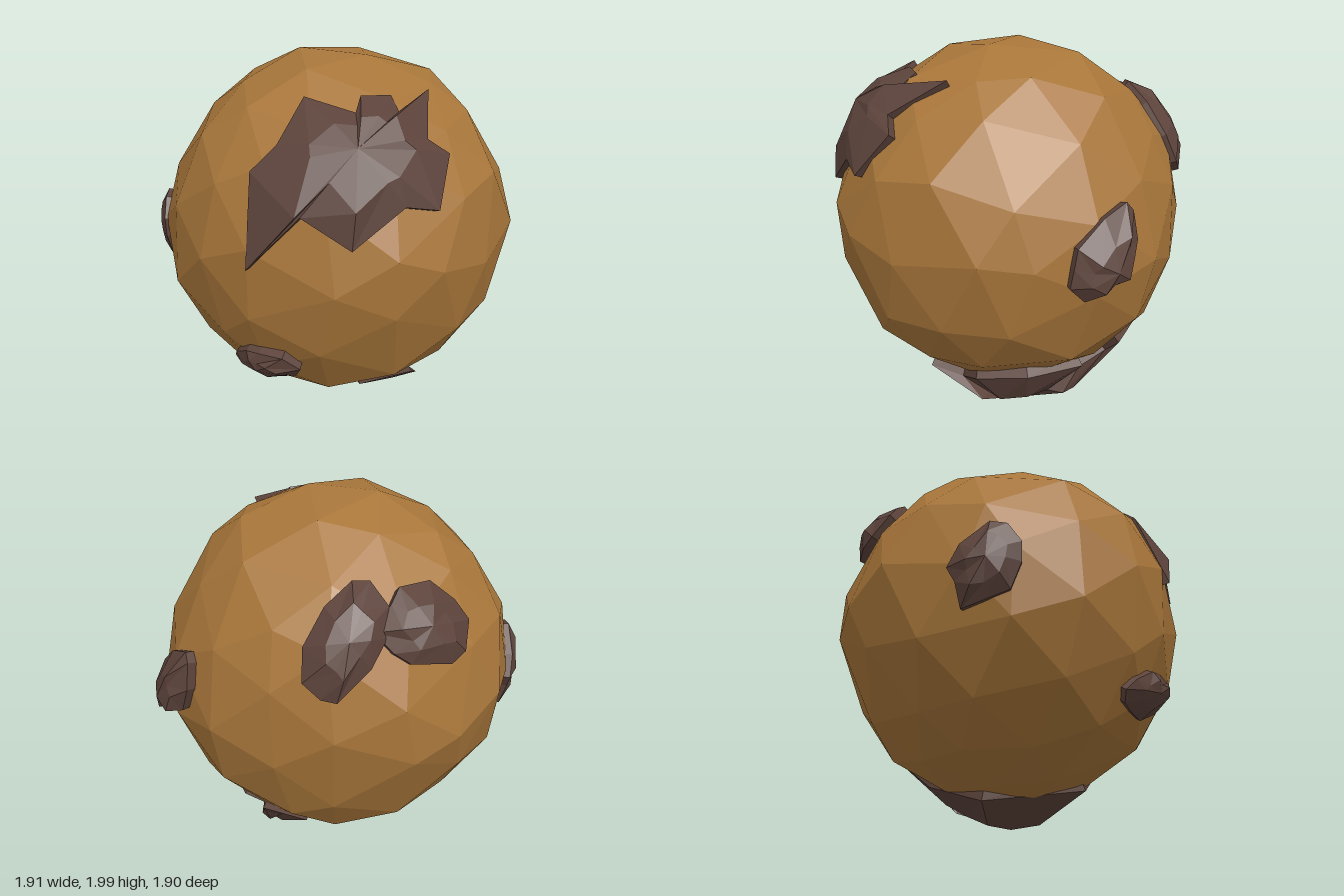
import * as THREE from 'three';
import { mergeVertices } from 'three/addons/utils/BufferGeometryUtils.js';

const R = 0.97; // body radius
const rad = THREE.MathUtils.degToRad;
const bodyMat = new THREE.MeshStandardMaterial({ color: 0xa8763a, flatShading: true });
const patchMat = new THREE.MeshStandardMaterial({ color: 0x5c433b, flatShading: true });

// Small seeded random, -1..1
function seeded(seed) {
  let s = seed * 7919;
  return () => {
    s = (s * 16807) % 2147483647;
    return (s / 2147483647) * 2 - 1;
  };
}

// Uneven faceted ball
function makeBody() {
  const ico = new THREE.IcosahedronGeometry(R, 2);
  ico.deleteAttribute('normal');
  ico.deleteAttribute('uv');
  const geo = mergeVertices(ico, 1e-4);
  const rand = seeded(41);
  const pos = geo.attributes.position;
  const p = new THREE.Vector3();
  for (let i = 0; i < pos.count; i++) {
    p.fromBufferAttribute(pos, i);
    p.x += rand() * 0.06;
    p.y += rand() * 0.06;
    p.z += rand() * 0.06;
    p.setLength(R - 0.012 + rand() * 0.016);
    pos.setXYZ(i, p.x, p.y, p.z);
  }
  geo.computeVertexNormals();
  const mesh = new THREE.Mesh(geo, bodyMat);
  mesh.name = 'body';
  return mesh;
}

// Rough oval outline, clockwise: centre, half length, half width, tilt in degrees
function oval([cu, cv], a, b, tilt, seed) {
  const rand = seeded(seed), n = 10, t = rad(tilt);
  return Array.from({ length: n }, (_, i) => {
    const w = -(i + rand() * 0.25) / n * Math.PI * 2;
    const k = 1 + rand() * 0.14;
    const x = a * k * Math.cos(w), y = b * k * Math.sin(w);
    return [cu + x * Math.cos(t) - y * Math.sin(t), cv + x * Math.sin(t) + y * Math.cos(t)];
  });
}

// Crusty lump: a clockwise outline laid on the ball as seen from an azimuth and
// elevation (degrees), rising through a ridge ring to a peak
function makePatch(name, az, el, outline, peak, bump, seed) {
  const a = rad(az), e = rad(el);
  const right = new THREE.Vector3(Math.cos(a), 0, -Math.sin(a));
  const toward = new THREE.Vector3(Math.sin(a) * Math.cos(e), Math.sin(e), Math.cos(a) * Math.cos(e));
  const up = new THREE.Vector3().crossVectors(toward, right);
  const onBall = (u, v, r) => new THREE.Vector3()
    .addScaledVector(right, u)
    .addScaledVector(up, v)
    .addScaledVector(toward, Math.sqrt(Math.max(0, r * r - u * u - v * v)));
  const rand = seeded(seed);
  const [cu, cv] = peak;
  const n = outline.length;

  // Buried skirt, visible edge, ridge and peak
  const skirt = outline.map(([u, v]) => onBall(u, v, R).setLength(R - 0.1));
  const edge = outline.map(([u, v]) => onBall(u, v, R + 0.004));
  const ridge = outline.map(([u, v]) => {
    const t = 0.54 + rand() * 0.1;
    return onBall(cu + (u - cu) * t, cv + (v - cv) * t, R + bump * (0.72 + rand() * 0.2));
  });
  const points = [...skirt, ...edge, ...ridge, onBall(cu, cv, R + bump)];

  const index = [];
  for (let i = 0; i < n; i++) {
    const j = (i + 1) % n;
    for (const o of [0, n]) {
      const q = o + n;
      index.push(o + i, q + i, o + j, o + j, q + i, q + j);
    }
    index.push(2 * n + i, 3 * n, 2 * n + j);
  }
  const geo = new THREE.BufferGeometry().setFromPoints(points);
  geo.setIndex(index);
  geo.computeVertexNormals();
  const mesh = new THREE.Mesh(geo, patchMat);
  mesh.name = name;
  return mesh;
}

// Oval lump with its peak in the middle
function makeOvalPatch(name, az, el, centre, a, b, tilt, bump, seed) {
  return makePatch(name, az, el, oval(centre, a, b, tilt, seed), centre, bump, seed);
}

// Jagged outlines of the two large lumps
const largeOutline = [
  [-0.58, -0.29], [-0.53, 0.16], [-0.4, 0.27], [-0.25, 0.5], [-0.03, 0.39], [0.01, 0.48], [0.16, 0.48],
  [0.18, 0.39], [0.38, 0.53], [0.3, 0.25], [0.41, 0.18], [0.32, -0.09], [0.15, -0.07], [-0.11, -0.25], [-0.33, -0.08],
];
const bottomOutline = [
  [-0.59, -0.61], [-0.44, -0.64], [-0.47, -0.47], [-0.28, -0.33], [0.04, -0.31], [0.1, -0.43],
  [0.28, -0.38], [0.28, -0.24], [0.52, -0.28], [0.3, -0.52], [0.15, -0.83], [-0.41, -0.82],
];

export function createModel() {
  const ball = new THREE.Group();
  ball.name = 'crustedBall';
  ball.add(
    makeBody(),
    makePatch('largeFrontPatch', 35, 28, largeOutline, [-0.06, 0.2], 0.07, 11),
    makePatch('bottomPatch', 145, -28, bottomOutline, [-0.15, -0.78], 0.125, 23),
    makeOvalPatch('backPatchInner', 215, 28, [-0.17, 0.05], 0.27, 0.16, 58, 0.07, 37),
    makeOvalPatch('backPatchOuter', 215, 28, [0.22, 0.08], 0.25, 0.19, 0, 0.07, 53),
    makeOvalPatch('backLeftPatch', 145, -28, [-0.09, 0.51], 0.24, 0.13, 38, 0.09, 67),
    makeOvalPatch('smallFrontPatch', 0, 0, [-0.055, -0.53], 0.2, 0.11, 8, 0.06, 71),
    makeOvalPatch('rightPatch', -65, 0, [-0.05, -0.07], 0.22, 0.16, 65, 0.05, 89),
  );

  // Rest on the ground, centred
  const box = new THREE.Box3().setFromObject(ball, true);
  const centre = box.getCenter(new THREE.Vector3());
  ball.position.set(-centre.x, -box.min.y, -centre.z);
  return ball;
}
